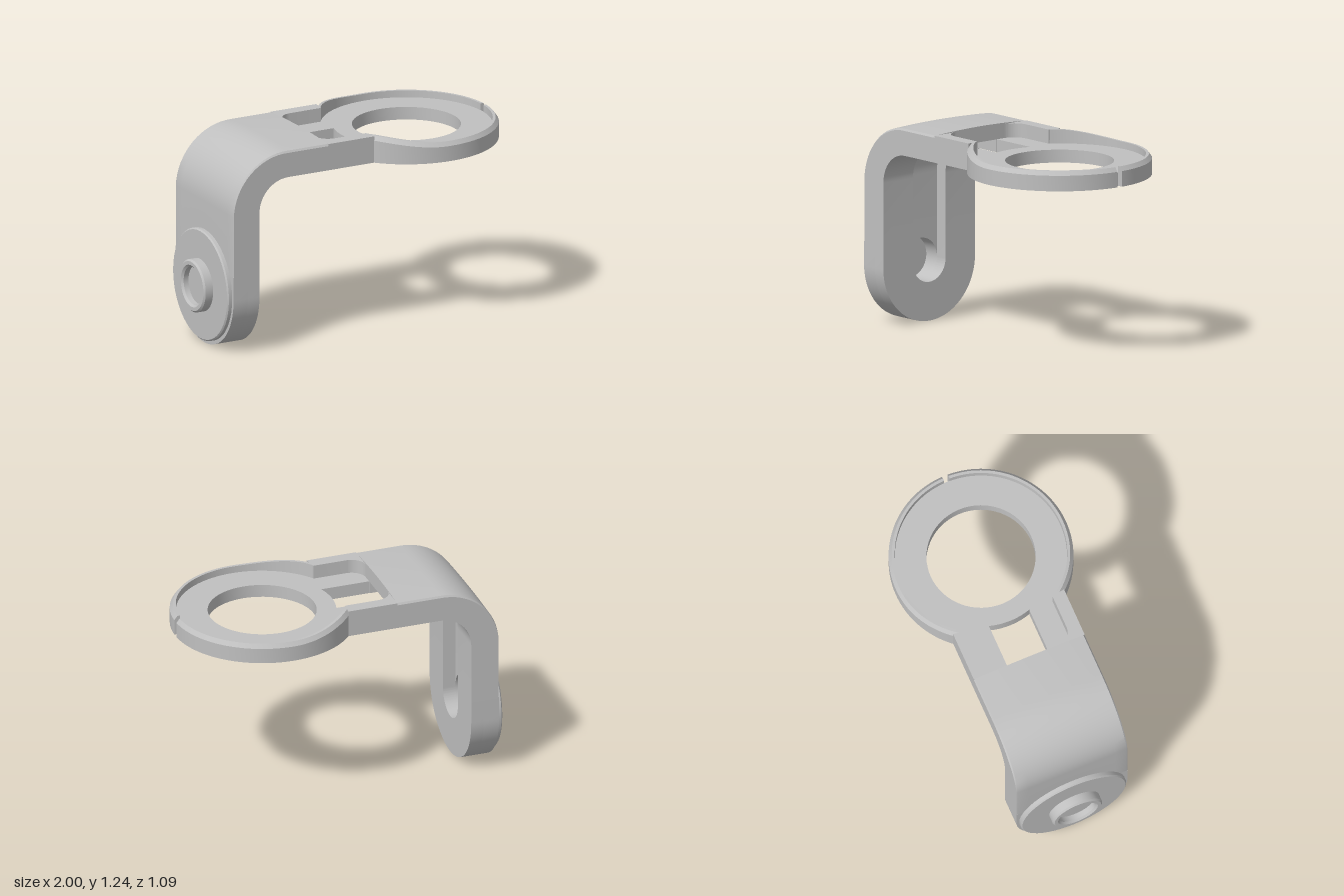
import * as THREE from 'three';
import { toCreasedNormals } from 'three/addons/utils/BufferGeometryUtils.js';

const HALF = 0.357;               // half width of the strap
const CY = 0.357;                 // height of the pivot
const GROOVE = 0.127;             // half width of the inner groove
const RING_X = 0.452;             // centre of the ring
const UNDER = 1.07, LEDGE = 1.148, TOP = 1.235;

// Skin a list of closed counter-clockwise sections; place(station, u, v) gives the 3D point.
function loft(stations, section, place) {
  const pos = [], index = [];
  const n = section(stations[0]).length;
  for (const s of stations) for (const [u, v] of section(s)) pos.push(...place(s, u, v));
  for (let i = 0; i < stations.length - 1; i++) {
    for (let j = 0; j < n; j++) {
      const k = (j + 1) % n, a = i * n + j, b = i * n + k, c = b + n, d = a + n;
      index.push(a, b, c, a, c, d);
    }
  }
  const cap = (s, base, flip) => {
    const pts = section(s).map(([u, v]) => new THREE.Vector2(u, v));
    for (const [a, b, c] of THREE.ShapeUtils.triangulateShape(pts, [])) {
      if (flip) index.push(base + c, base + b, base + a);
      else index.push(base + a, base + b, base + c);
    }
  };
  cap(stations[0], 0, true);
  cap(stations[stations.length - 1], (stations.length - 1) * n, false);
  const g = new THREE.BufferGeometry();
  g.setAttribute('position', new THREE.Float32BufferAttribute(pos, 3));
  g.setIndex(index);
  return toCreasedNormals(g, 0.45);
}

const extrude = (shape, depth) => toCreasedNormals(
  new THREE.ExtrudeGeometry(shape, { depth, bevelEnabled: false, curveSegments: 32 }), 0.45);

// Plan shape (x, z) raised from y0 to y1
const slab = (shape, y0, y1) => extrude(shape, y1 - y0).rotateX(-Math.PI / 2).translate(0, y0, 0);

// Side shape (z, y) spanning x0 to x1
const plate = (shape, x0, x1) => extrude(shape, x1 - x0).rotateY(Math.PI / 2).translate(x0, 0, 0);

export function createModel() {
  const group = new THREE.Group();
  const metal = new THREE.MeshStandardMaterial({ color: 0xc0c0c0 });
  metal.name = 'light grey metal';
  const add = (name, geometry) => {
    const mesh = new THREE.Mesh(geometry, metal);
    mesh.name = name;
    group.add(mesh);
  };

  // Bent strap with inner groove and gently crowned outer face, swept from arm to leg
  const R = 0.195, bx = -0.54, by = UNDER - R, legTop = 0.5;
  const stations = [{ x: -0.27, y: UNDER, a: 0 }];
  const STEPS = 16;
  for (let i = 0; i <= STEPS; i++) {
    const a = (i / STEPS) * Math.PI / 2;
    stations.push({ x: bx - R * Math.sin(a), y: by + R * Math.cos(a), a });
  }
  stations.push({ x: bx - R, y: legTop, a: Math.PI / 2 });
  const strapSection = ({ a }) => {
    const bend = a / (Math.PI / 2);
    const t = 0.162 + 0.013 * bend, crown = 0.012 * (1 - bend);
    const pts = [[-HALF, 0], [-GROOVE, 0], [-GROOVE, 0.078], [GROOVE, 0.078], [GROOVE, 0],
      [HALF, 0], [HALF, t - 0.01 * (1 - bend) - 0.002]];
    for (let i = 0; i <= 10; i++) {
      const k = 1 - i / 5;
      pts.push([k * (HALF - 0.008), t + crown * (1 - k * k)]);
    }
    pts.push([-HALF, t - 0.01 * (1 - bend) - 0.002]);
    return pts;
  };
  add('bentStrap', loft(stations, strapSection,
    (s, u, v) => [s.x - v * Math.sin(s.a), s.y + v * Math.cos(s.a), u]));

  // Rounded leg end: outer layer with a round bore, inner layer with the groove's end
  const outer = new THREE.Shape();
  outer.moveTo(HALF, legTop).lineTo(-HALF, legTop).lineTo(-HALF, CY);
  outer.absarc(0, CY, HALF, Math.PI, Math.PI * 2, false);
  const bore = new THREE.Path();
  bore.absarc(0, CY + 0.004, GROOVE, 0, Math.PI * 2, true);
  outer.holes.push(bore);
  add('legEndOuter', plate(outer, -0.91, -0.813));

  const inner = new THREE.Shape();
  inner.moveTo(-GROOVE, legTop).lineTo(-HALF, legTop).lineTo(-HALF, CY);
  inner.absarc(0, CY, HALF, Math.PI, Math.PI * 2, false);
  inner.lineTo(HALF, legTop).lineTo(GROOVE, legTop).lineTo(GROOVE, CY + 0.004);
  inner.absarc(0, CY + 0.004, GROOVE, 0, -Math.PI, true);
  add('legEndInner', plate(inner, -0.813, -0.735));

  // Pivot hub: stepped disc with a recessed boss
  const hub = [[0, 0], [0.34, 0], [0.34, 0.022], [0.332, 0.03], [0.16, 0.03], [0.16, 0.08],
    [0.15, 0.09], [0.128, 0.09], [0.115, 0.078], [0.115, 0.045], [0, 0.045]]
    .map(([r, h]) => new THREE.Vector2(r, h));
  add('pivotHub', toCreasedNormals(new THREE.LatheGeometry(hub, 48), 0.45)
    .rotateZ(Math.PI / 2).translate(-0.91, CY + 0.006, 0));

  // Side rails of the window, with rounded inner corners
  for (const s of [1, -1]) {
    const rail = new THREE.Shape();
    rail.moveTo(-0.27, s * HALF).lineTo(0.04, s * HALF).lineTo(0.028, s * 0.277);
    rail.lineTo(-0.18, s * 0.277);
    rail.bezierCurveTo(-0.23, s * 0.277, -0.27, s * 0.237, -0.27, s * 0.187);
    add(s > 0 ? 'rightRail' : 'leftRail', slab(rail, UNDER, TOP - 0.002));
  }

  // Recessed floor: window ledges joined to the ring seat
  const rSeat = 0.512, rLip = 0.44, ledge = 0.13, wide = 0.28;
  const aSeat = Math.PI - Math.asin(wide / rSeat), aLip = Math.PI - Math.asin(ledge / rLip);
  const seat = new THREE.Shape();
  seat.moveTo(-0.27, ledge).lineTo(-0.27, wide);
  seat.absarc(RING_X, 0, rSeat, aSeat, -aSeat, true);
  seat.lineTo(-0.27, -wide).lineTo(-0.27, -ledge);
  seat.absarc(RING_X, 0, rLip, -aLip, aLip - Math.PI * 2, true);
  const hole = new THREE.Path();
  hole.absarc(RING_X, 0, 0.323, 0, Math.PI * 2, false);
  seat.holes.push(hole);
  add('ringSeat', slab(seat, UNDER, LEDGE));

  // Raised rim: chamfered, dropping away from the arm, split by a slot at the far end
  const rimTop = (x) => {
    const t = Math.pow(THREE.MathUtils.clamp((x - 0.04) / 0.4, 0, 1), 0.75);
    return TOP - 0.002 - 0.043 * t * t * (3 - 2 * t);
  };
  const rimSection = (a) => {
    const h = rimTop(RING_X + 0.53 * Math.cos(a));
    return [[0.508, UNDER], [0.547, UNDER], [0.547, h - 0.026], [0.528, h], [0.511, h]];
  };
  const gap = 0.034, end = Math.PI - 0.585;
  for (const s of [1, -1]) {
    const angles = [];
    for (let i = 0; i <= 48; i++) angles.push(THREE.MathUtils.lerp(gap, end, i / 48) * s);
    if (s < 0) angles.reverse();
    add(s > 0 ? 'rightRim' : 'leftRim', loft(angles, rimSection,
      (a, r, y) => [RING_X + r * Math.cos(a), y, r * Math.sin(a)]));
  }

  return group;
}
